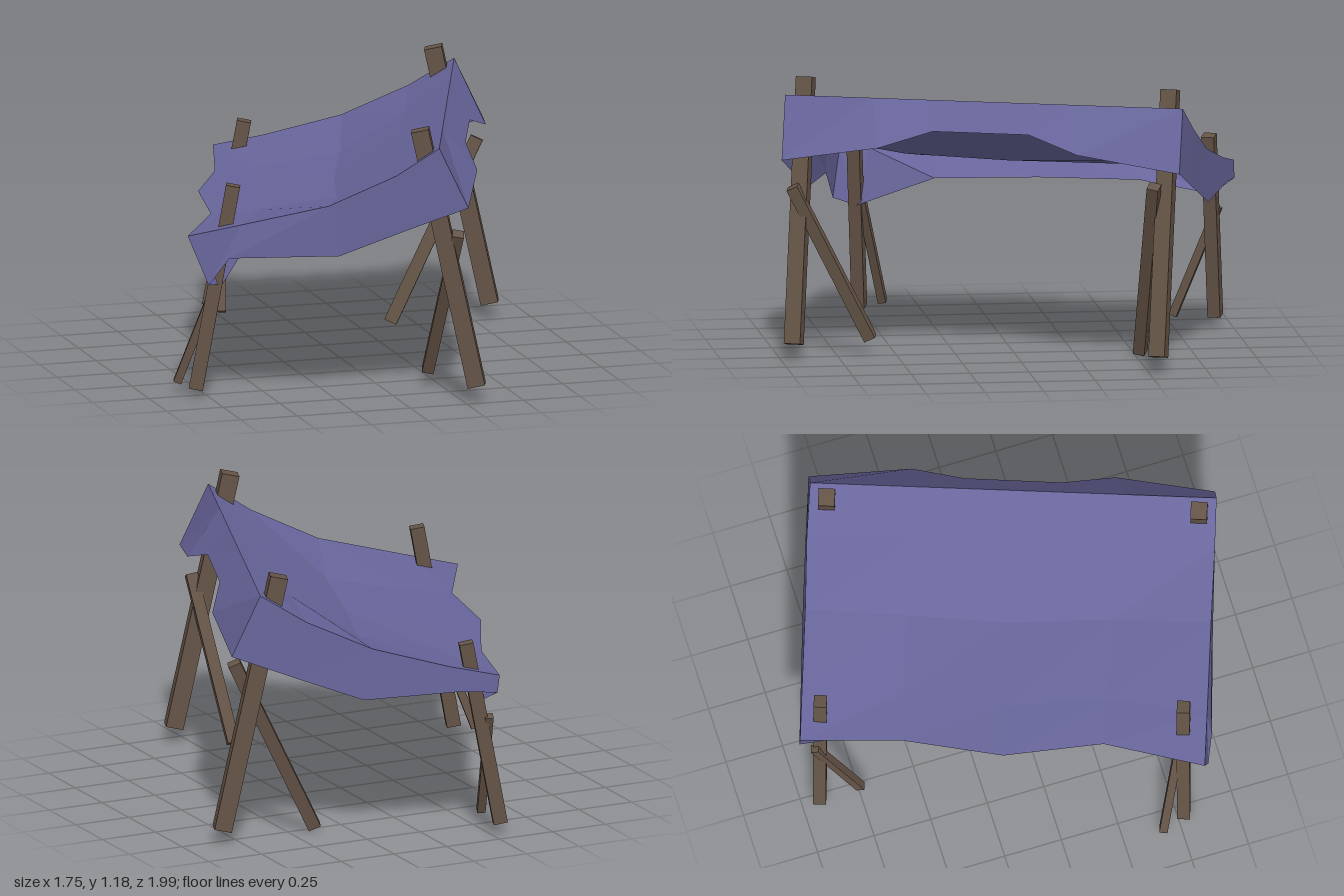
import * as THREE from 'three';

const V = (p) => new THREE.Vector3(...p);
const mix = (a, b, t) => a.map((v, i) => v + (b[i] - v) * t);

export function createModel() {
  const model = new THREE.Group();
  const cloth = new THREE.MeshStandardMaterial({ color: 0x67659a, flatShading: true, side: THREE.DoubleSide });
  const wood = new THREE.MeshStandardMaterial({ color: 0x655447, flatShading: true });

  // Faceted sheet spanning rows of points; all rows have equal length
  function sheet(name, rows) {
    const pos = [];
    for (let i = 0; i < rows.length - 1; i++) {
      for (let j = 0; j < rows[i].length - 1; j++) {
        const a = rows[i][j], b = rows[i][j + 1], c = rows[i + 1][j + 1], d = rows[i + 1][j];
        pos.push(...a, ...b, ...c, ...a, ...c, ...d);
      }
    }
    const g = new THREE.BufferGeometry();
    g.setAttribute('position', new THREE.Float32BufferAttribute(pos, 3));
    g.computeVertexNormals();
    const mesh = new THREE.Mesh(g, cloth);
    mesh.name = name;
    model.add(mesh);
  }

  // Square beam from top to bottom, turned to match the canopy
  function beam(name, top, bottom, w, d) {
    const a = V(top), b = V(bottom);
    const y = a.clone().sub(b), len = y.length();
    y.normalize();
    const x = new THREE.Vector3(1, 0, 0.36).addScaledVector(y, -y.dot(V([1, 0, 0.36]))).normalize();
    const z = x.clone().cross(y);
    const mesh = new THREE.Mesh(new THREE.BoxGeometry(w, len, d), wood);
    mesh.quaternion.setFromRotationMatrix(new THREE.Matrix4().makeBasis(x, y, z));
    mesh.position.copy(a).add(b).multiplyScalar(0.5);
    mesh.name = name;
    model.add(mesh);
  }

  // Canopy edges, running from the high side to the low side
  const frontEdge = [[0.14, 1.11, 0.96], [-0.03, 0.99, 0.9], [-0.3, 0.855, 0.8], [-0.65, 0.77, 0.675], [-0.86, 0.72, 0.6]];
  const backEdge = [[0.71, 1.11, -0.66], [0.53, 0.99, -0.73], [0.26, 0.86, -0.82], [-0.05, 0.77, -0.93], [-0.25, 0.725, -1]];
  const lowEdge = [frontEdge[4], [-0.64, 0.72, 0.22], [-0.565, 0.72, -0.2], [-0.37, 0.71, -0.59], backEdge[4]];
  const us = [0, 0.24, 0.5, 0.745, 1];
  const pull = [0, 0.05, 0.3, 0.7, 1];
  const sag = [0, 0.015, 0.075, 0.04, 0];
  const slack = [0, 0.75, 1, 0.75, 0];

  // Sagging top, with the scalloped low edge blended in
  sheet('canopyTop', us.map((u, i) => frontEdge.map((p, j) => {
    const q = mix(p, backEdge[j], u);
    const straight = mix(frontEdge[4], backEdge[4], u);
    return q.map((v, k) => v + pull[j] * (lowEdge[i][k] - straight[k]) - (k === 1 ? sag[j] * slack[i] : 0));
  })));

  // Hanging flaps on all four sides
  const highHem = [[0.26, 0.85, 0.99], [0.42, 0.92, 0.6], [0.44, 0.99, 0.37], [0.58, 0.99, -0.02], [0.71, 0.92, -0.21], [0.83, 0.85, -0.63]];
  sheet('highFlap', [highHem, [0, 0.22, 0.36, 0.6, 0.72, 1].map((u) => mix(frontEdge[0], backEdge[0], u))]);

  const frontHem = [[0.26, 0.85, 0.99], [0.02, 0.755, 0.91], [-0.26, 0.64, 0.82], [-0.7, 0.63, 0.68], [-0.78, 0.51, 0.64]];
  sheet('frontFlap', [frontEdge, frontHem]);

  const backHem = [[0.83, 0.85, -0.63], [0.57, 0.745, -0.725], [0.3, 0.64, -0.82], [-0.09, 0.66, -0.95], [-0.24, 0.65, -1]];
  sheet('backFlap', [backHem, backEdge]);

  const lowTop = [lowEdge[0], mix(lowEdge[0], lowEdge[1], 0.3), lowEdge[1], lowEdge[2], lowEdge[3], mix(lowEdge[3], lowEdge[4], 0.75), lowEdge[4]];
  const lowHem = [frontHem[4], [-0.69, 0.49, 0.55], [-0.45, 0.64, 0.25], [-0.36, 0.65, -0.18], [-0.27, 0.645, -0.6], [-0.2, 0.59, -0.9], backHem[4]];
  sheet('lowFlap', [lowTop, lowHem]);

  // Corner posts
  beam('frontHighPost', [0.085, 1.175, 0.865], [0.31, 0.07, 0.945], 0.075, 0.07);
  beam('backHighPost', [0.605, 1.175, -0.62], [0.83, 0.07, -0.54], 0.075, 0.07);
  beam('frontLowPost', [-0.65, 0.92, 0.57], [-0.8, 0.04, 0.525], 0.06, 0.055);
  beam('backLowPost', [-0.15, 0.85, -0.88], [-0.29, 0.055, -0.925], 0.06, 0.055);

  // Slanted struts bracing the posts
  beam('frontHighStrut', [0.23, 0.73, 0.94], [0.2, 0.07, 0.605], 0.05, 0.05);
  beam('backHighStrut', [0.77, 0.79, -0.53], [0.385, 0.02, -0.52], 0.055, 0.05);
  beam('frontLowStrut', [-0.7, 0.52, 0.53], [-0.85, 0.05, 0.42], 0.035, 0.035);
  beam('backLowStrut', [-0.235, 0.53, -0.93], [-0.29, 0.06, -0.745], 0.035, 0.035);

  return model;
}
